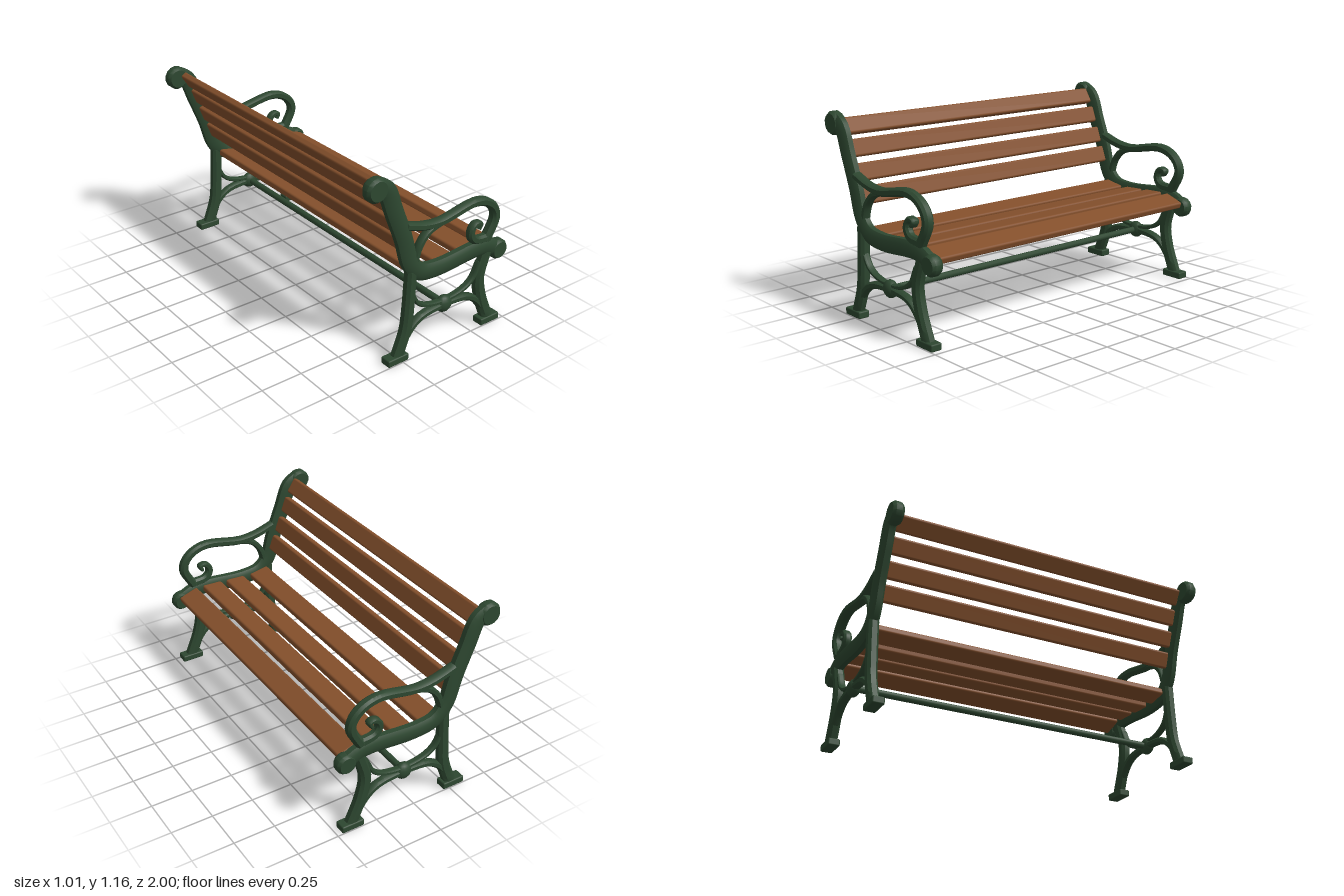
import * as THREE from 'three';
import { toCreasedNormals } from 'three/addons/utils/BufferGeometryUtils.js';
import { RoundedBoxGeometry } from 'three/addons/geometries/RoundedBoxGeometry.js';

const iron = new THREE.MeshStandardMaterial({ color: 0x2d4730 });
iron.name = 'green cast iron';
const wood = new THREE.MeshStandardMaterial({ color: 0x834f2b });
wood.name = 'brown wood';

const HUB_X = 0.06, HUB_Y = 0.242;

function add(parent, name, geometry, material, x = 0, y = 0) {
  const mesh = new THREE.Mesh(geometry, material);
  mesh.name = name;
  mesh.position.set(x, y, 0);
  parent.add(mesh);
  return mesh;
}

// Sweeps a chamfered section along [x, y] points; half width runs from w0 to w1
function bar(parent, name, points, halfDepth, w0, w1 = w0) {
  const curve = new THREE.CatmullRomCurve3(points.map(([x, y]) => new THREE.Vector3(x, y, 0)));
  const steps = (points.length - 1) * 5, sides = 8;
  const pos = [], index = [];
  for (let i = 0; i <= steps; i++) {
    const u = i / steps, p = curve.getPoint(u), t = curve.getTangent(u);
    const w = THREE.MathUtils.lerp(w0, w1, u);
    for (let j = 0; j < sides; j++) {
      // squared-off octagon
      const a = (j + 0.5) * Math.PI * 2 / sides;
      const across = w * THREE.MathUtils.clamp(Math.cos(a) * 1.3, -1, 1);
      const depth = halfDepth * THREE.MathUtils.clamp(Math.sin(a) * 1.3, -1, 1);
      pos.push(p.x - t.y * across, p.y + t.x * across, depth);
      if (i < steps) {
        const k = (j + 1) % sides, q = i * sides + j, r = i * sides + k;
        index.push(q, r, q + sides, r, r + sides, q + sides);
      }
    }
  }
  // End caps
  const e = steps * sides;
  for (let j = 1; j < sides - 1; j++) index.push(0, j + 1, j, e, e + j, e + j + 1);
  const g = new THREE.BufferGeometry();
  g.setAttribute('position', new THREE.Float32BufferAttribute(pos, 3));
  g.setIndex(index);
  add(parent, name, toCreasedNormals(g, 0.7), iron);
}

// Completes a path whose last point lies on the hub's centre line
function mirrored(half) {
  return [...half, ...half.slice(0, -1).reverse().map(([x, y]) => [2 * HUB_X - x, y])];
}

// Chamfered disc facing z
function knob(parent, name, r, d, x, y) {
  const profile = [[0, -d], [r * 0.8, -d], [r, -d / 2], [r, d / 2], [r * 0.8, d], [0, d]];
  const g = new THREE.LatheGeometry(profile.map(p => new THREE.Vector2(...p)), 14);
  add(parent, name, toCreasedNormals(g.rotateX(Math.PI / 2), 0.7), iron, x, y);
}

// Cast end frame, symmetrical about its own middle plane
function endFrame(name, z) {
  const frame = new THREE.Group();
  frame.name = name;
  frame.position.z = z;

  // Back and seat in one sweep, with a scroll at each end
  bar(frame, 'backAndSeatRail', [[-0.44, 1.105], [-0.375, 1.065], [-0.32, 0.93], [-0.25, 0.75], [-0.2, 0.59],
    [-0.13, 0.515], [0, 0.493], [0.33, 0.508], [0.45, 0.46]], 0.031, 0.051, 0.047);
  knob(frame, 'backScroll', 0.069, 0.034, -0.443, 1.087);
  knob(frame, 'seatScroll', 0.06, 0.034, 0.442, 0.46);

  // Legs and feet
  bar(frame, 'backLeg', [[-0.19, 0.54], [-0.2, 0.32], [-0.215, 0.18], [-0.268, 0.03]], 0.03, 0.032, 0.036);
  bar(frame, 'frontLeg', [[0.36, 0.48], [0.315, 0.32], [0.335, 0.19], [0.397, 0.03]], 0.03, 0.032, 0.036);
  for (const [part, x] of [['backFoot', -0.28], ['frontFoot', 0.4]]) {
    add(frame, part, new RoundedBoxGeometry(0.14, 0.042, 0.07, 2, 0.008), iron, x, 0.021);
  }

  // Armrest, its small curl and the brace behind it
  bar(frame, 'armrest', [[-0.24, 0.82], [-0.12, 0.782], [0, 0.769], [0.24, 0.806], [0.33, 0.785], [0.39, 0.735],
    [0.41, 0.67], [0.35, 0.548]], 0.029, 0.022, 0.027);
  bar(frame, 'armCurl', [[0.36, 0.555], [0.265, 0.57], [0.234, 0.61], [0.24, 0.648], [0.267, 0.671],
    [0.297, 0.663], [0.283, 0.635]], 0.024, 0.028, 0.011);
  bar(frame, 'armBrace', [[0.01, 0.765], [-0.08, 0.735], [-0.14, 0.67], [-0.175, 0.56]], 0.024, 0.017, 0.02);

  // Cross braces meeting at the hub
  bar(frame, 'lowerArch', mirrored([[-0.225, 0.12], [-0.17, 0.185], [-0.1, 0.225], [HUB_X, 0.24]]), 0.024, 0.02);
  bar(frame, 'upperBrace', mirrored([[-0.19, 0.42], [-0.14, 0.325], [-0.07, 0.283], [HUB_X, 0.265]]), 0.02, 0.013);
  add(frame, 'hub', new THREE.SphereGeometry(0.052, 14, 10), iron, HUB_X, HUB_Y).scale.z = 0.7;
  return frame;
}

// Each slat: centre x, centre y, tilt
function slats(name, width, list) {
  const group = new THREE.Group();
  group.name = name;
  const geometry = new RoundedBoxGeometry(width, 0.042, 1.88, 2, 0.012);
  for (const [x, y, tilt] of list) add(group, 'slat', geometry, wood, x, y).rotation.z = tilt;
  return group;
}

export function createModel() {
  const bench = new THREE.Group();
  bench.name = 'bench';
  bench.add(endFrame('leftEnd', 0.965), endFrame('rightEnd', -0.965));
  bench.add(slats('seatSlats', 0.132, [[-0.115, 0.508, -0.18], [0.065, 0.502, 0.05], [0.232, 0.512, 0.04], [0.398, 0.496, -0.33]]));
  bench.add(slats('backSlats', 0.101, [[-0.232, 0.702, 1.93], [-0.28, 0.825, 1.93], [-0.329, 0.954, 1.94], [-0.386, 1.07, 2.15]]));
  // Long tie rod between the hubs
  add(bench, 'tieRod', new THREE.CylinderGeometry(0.02, 0.02, 1.92, 10).rotateX(Math.PI / 2), iron, HUB_X, HUB_Y);
  return bench;
}
